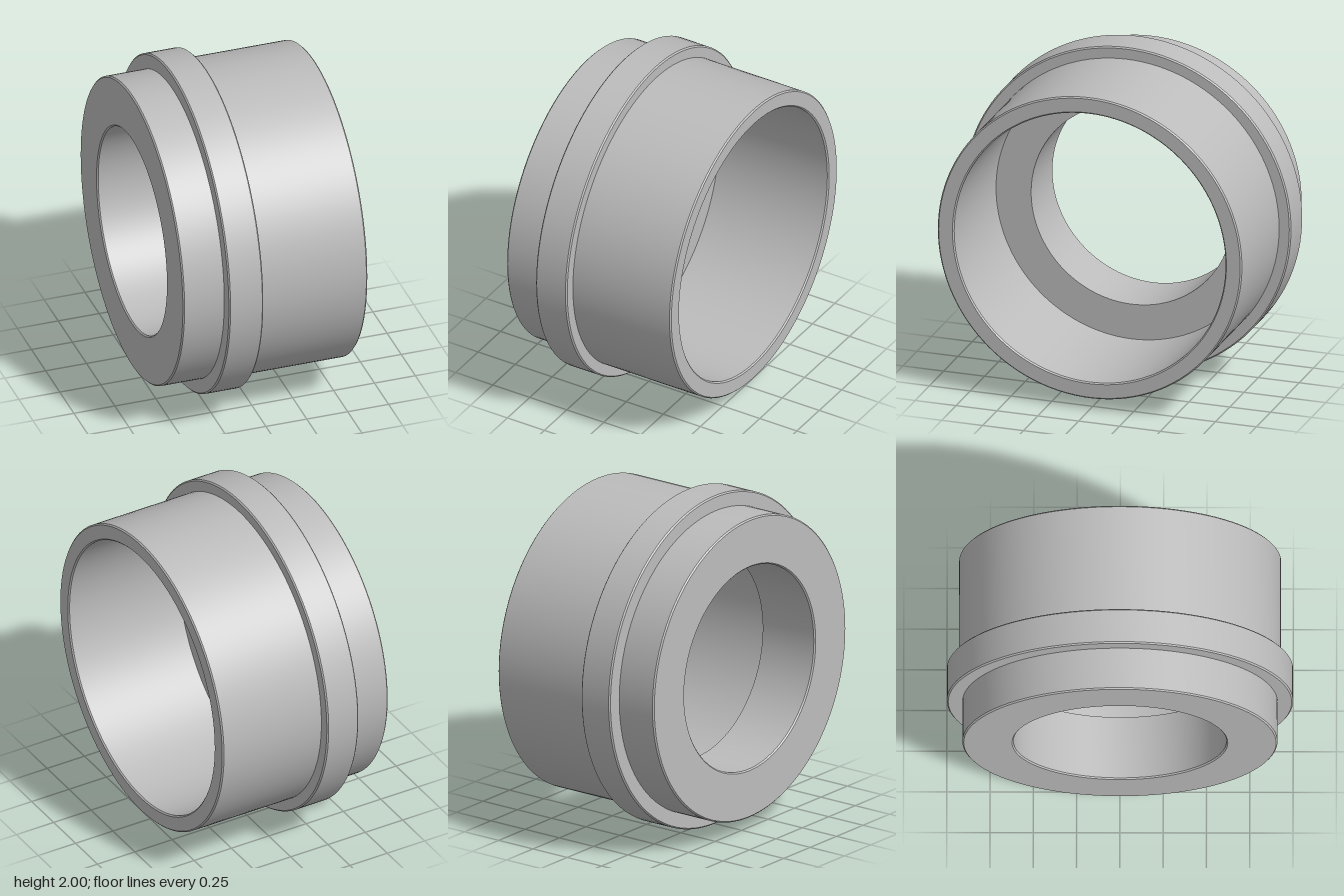
import * as THREE from 'three';
import { toCreasedNormals } from 'three/addons/utils/BufferGeometryUtils.js';

const SEGMENTS = 128;
const C = 0.008; // edge chamfer

// Revolve a profile of [x, radius] points about the x axis, keeping edges sharp
function turned(name, profile, material) {
  const points = profile.map(([x, r]) => new THREE.Vector2(r, x));
  const geometry = new THREE.LatheGeometry(points, SEGMENTS);
  geometry.rotateZ(-Math.PI / 2);
  const mesh = new THREE.Mesh(toCreasedNormals(geometry, 0.5), material);
  mesh.name = name;
  return mesh;
}

export function createModel() {
  const steel = new THREE.MeshStandardMaterial({ color: 0xbcbcbc });
  steel.name = 'grey steel';

  const back = -0.56, flangeBack = -0.31, flangeFront = -0.1, front = 0.56;
  const step = -0.18; // where the narrow bore opens into the wide one
  const bore = 0.615, wide = 0.83, collarR = 0.91, flangeR = 1, sleeveR = 0.93;

  const group = new THREE.Group();
  group.name = 'flangedBushing';

  // Thick collar with the narrow bore
  group.add(turned('collar', [
    [step, bore],
    [back + C, bore],
    [back, bore + C],
    [back, collarR - C],
    [back + C, collarR],
    [flangeBack, collarR],
  ], steel));

  // Raised flange around the middle
  group.add(turned('flange', [
    [flangeBack, collarR],
    [flangeBack, flangeR - C],
    [flangeBack + C, flangeR],
    [flangeFront - C, flangeR],
    [flangeFront, flangeR - C],
    [flangeFront, sleeveR],
  ], steel));

  // Thin sleeve with the wide bore and the inner shoulder
  group.add(turned('sleeve', [
    [flangeFront, sleeveR],
    [front - C, sleeveR],
    [front, sleeveR - C],
    [front, wide + C],
    [front - C, wide],
    [step, wide],
    [step, bore],
  ], steel));

  group.position.y = 1;
  const model = new THREE.Group();
  model.add(group);
  return model;
}
